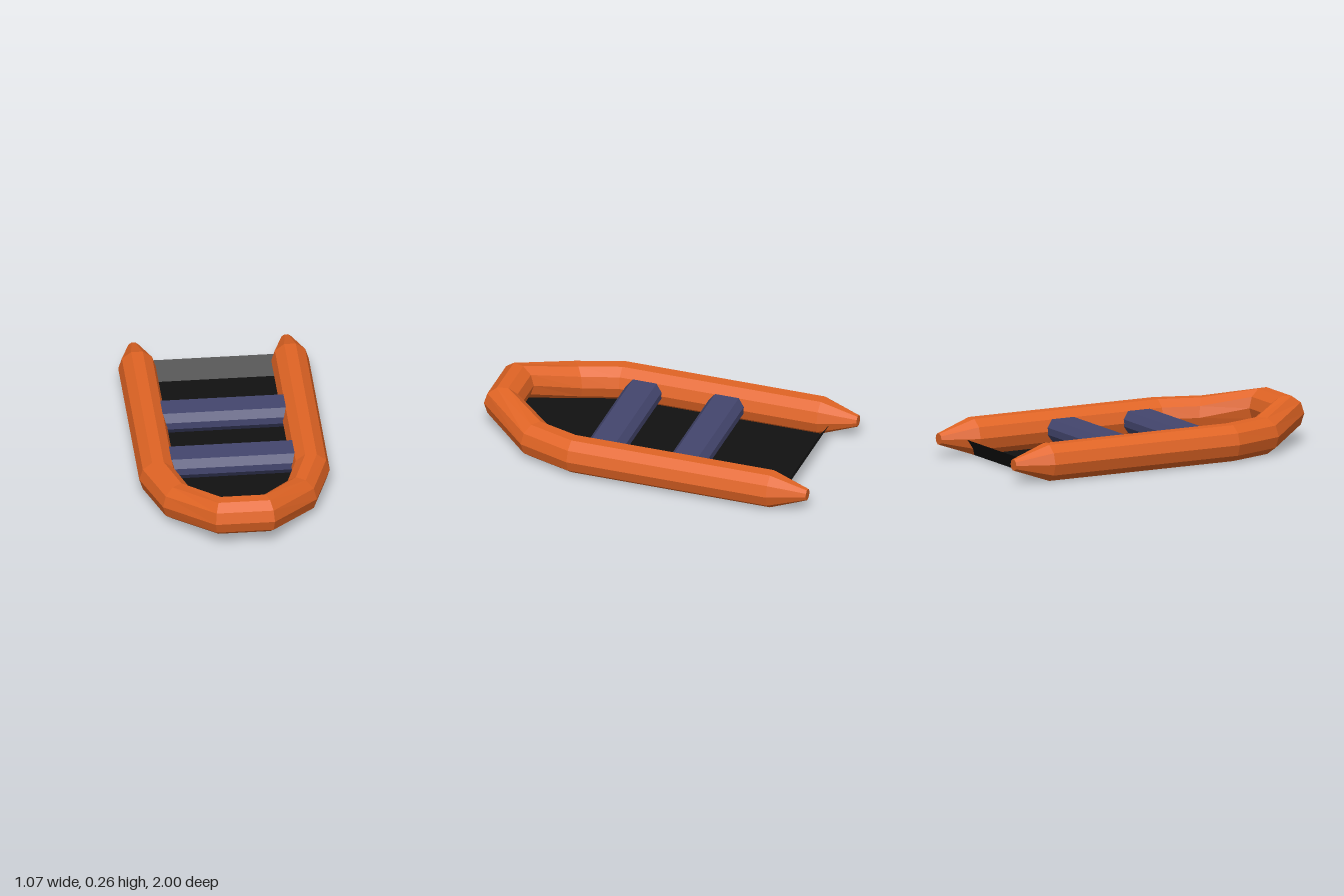
import * as THREE from 'three';

const material = (color, side = THREE.FrontSide) =>
  new THREE.MeshStandardMaterial({ color, flatShading: true, side });

function meshFrom(name, positions, indices, mat) {
  const indexed = new THREE.BufferGeometry();
  indexed.setAttribute('position', new THREE.Float32BufferAttribute(positions, 3));
  indexed.setIndex(indices);
  const geometry = indexed.toNonIndexed();
  geometry.computeVertexNormals();
  const mesh = new THREE.Mesh(geometry, mat);
  mesh.name = name;
  return mesh;
}

// Ten-sided inflated tube running from one stern cone round the bow to the other
function hullTube(mat) {
  const sides = 10;
  // outer x, outer z, inner x, inner z, centre height, vertical radius
  const half = [
    [0.461, -1.0, 0.395, -1.0, 0.105, 0.033],
    [0.533, -0.79, 0.323, -0.79, 0.1025, 0.1075],
    [0.533, 0.385, 0.323, 0.375, 0.1025, 0.1075],
    [0.43, 0.69, 0.262, 0.57, 0.1025, 0.1075],
    [0.165, 1.0, 0.105, 0.8, 0.162, 0.1065],
  ];
  const mirrored = half.map(([ox, oz, ix, iz, y, r]) => [-ox, oz, -ix, iz, y, r]).reverse();
  const rings = [...half, ...mirrored];
  const positions = [], indices = [];
  for (const [ox, oz, ix, iz, y, r] of rings) {
    for (let j = 0; j < sides; j++) {
      const a = (j / sides) * Math.PI * 2;
      const k = (1 + Math.cos(a)) / 2;
      positions.push(ix + (ox - ix) * k, y + Math.sin(a) * r, iz + (oz - iz) * k);
    }
  }
  for (let i = 0; i < rings.length - 1; i++) {
    for (let j = 0; j < sides; j++) {
      const n = (j + 1) % sides;
      const a = i * sides + j, b = i * sides + n;
      indices.push(a, b, b + sides, a, b + sides, a + sides);
    }
  }
  // Flat caps on the two stern cones
  const last = (rings.length - 1) * sides;
  for (let j = 1; j < sides - 1; j++) {
    indices.push(0, j + 1, j, last, last + j, last + j + 1);
  }
  return meshFrom('hullTube', positions, indices, mat);
}

// Thin floor: turned up at the stern, flat amidships, rising to the bow
function floorSheet(mat) {
  const stations = [ // half width, height, z
    [0.4, 0.1, -0.86],
    [0.4, 0, -0.79],
    [0.4, 0, 0.38],
    [0.345, 0, 0.63],
    [0.135, 0.058, 0.9],
  ];
  const positions = [], indices = [];
  stations.forEach(([w, y, z], i) => {
    positions.push(-w, y, z, w, y, z);
    if (i === 0) return;
    const a = (i - 1) * 2;
    indices.push(a, a + 2, a + 3, a, a + 3, a + 1);
  });
  return meshFrom('floor', positions, indices, mat);
}

// Bench with bevelled long edges, its ends sunk into the tubes
function seat(name, z, mat) {
  const length = 0.74;
  const profile = [
    [0.105, 0.02], [0.07, 0.062], [-0.07, 0.062], [-0.105, 0.02],
    [-0.105, -0.02], [-0.07, -0.062], [0.07, -0.062], [0.105, -0.02],
  ];
  const shape = new THREE.Shape(profile.map(([u, v]) => new THREE.Vector2(u, v)));
  const geometry = new THREE.ExtrudeGeometry(shape, { depth: length, bevelEnabled: false });
  geometry.translate(0, 0, -length / 2);
  geometry.rotateY(Math.PI / 2);
  const mesh = new THREE.Mesh(geometry, mat);
  mesh.name = name;
  mesh.position.set(0, 0.105, z);
  return mesh;
}

export function createModel() {
  const model = new THREE.Group();
  model.name = 'inflatableBoat';
  const blue = material(0x44466e);
  model.add(
    hullTube(material(0xe06424)),
    floorSheet(material(0x111111, THREE.DoubleSide)),
    seat('rearSeat', -0.255, blue),
    seat('frontSeat', 0.23, blue),
  );
  return model;
}
